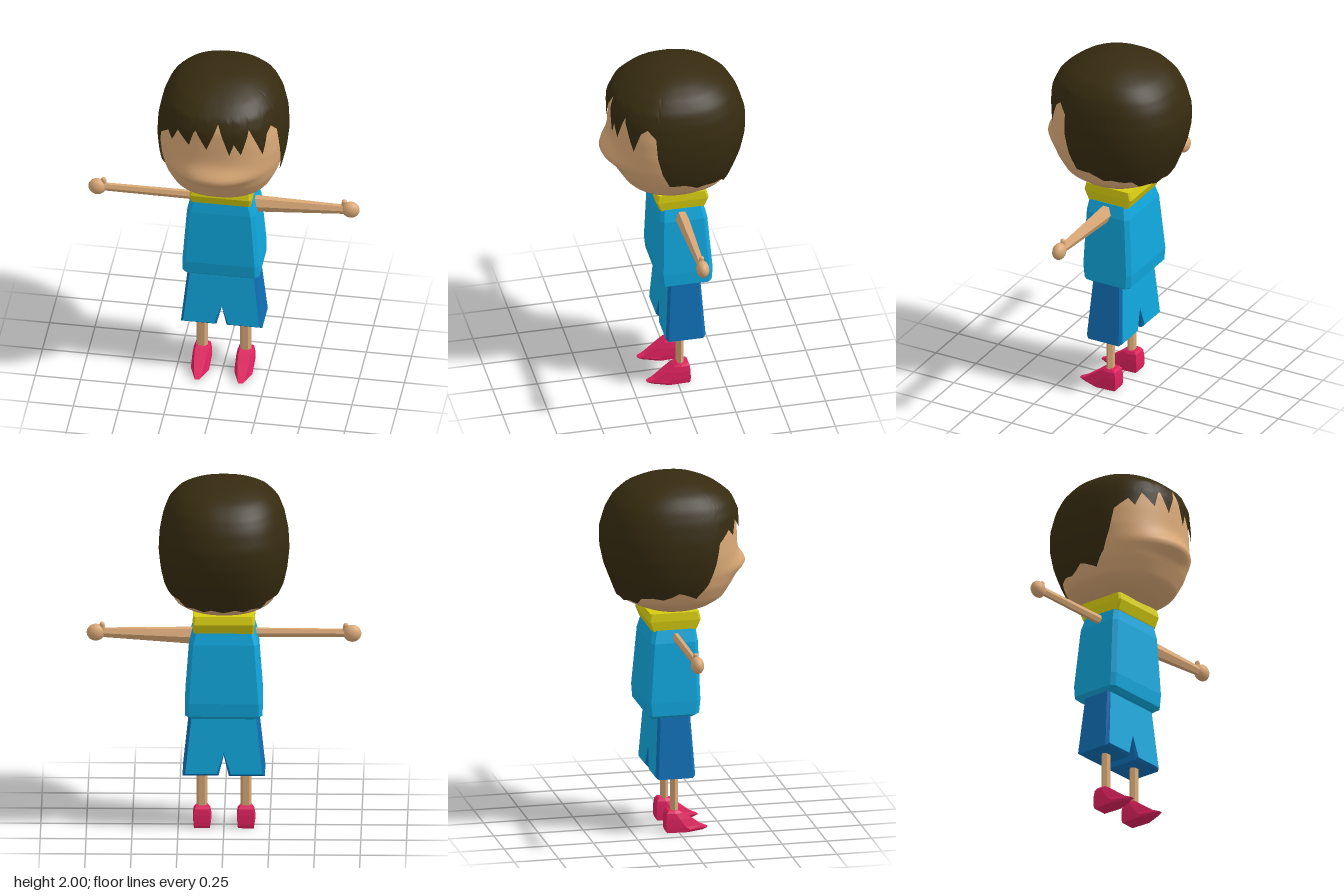
import * as THREE from 'three';

const mat = (name, color, opts = {}) => new THREE.MeshStandardMaterial({ name, color, ...opts });

// Head profile: height, half width, front depth, back depth
const HEAD = [
  [1.24, 0, 0, 0], [1.25, 0.14, 0.12, 0.13], [1.28, 0.22, 0.21, 0.21], [1.33, 0.285, 0.285, 0.31],
  [1.42, 0.328, 0.34, 0.345], [1.5, 0.346, 0.362, 0.375], [1.6, 0.357, 0.36, 0.397], [1.7, 0.352, 0.358, 0.399],
  [1.8, 0.332, 0.355, 0.37], [1.87, 0.305, 0.325, 0.33], [1.93, 0.255, 0.25, 0.265],
  [1.975, 0.17, 0.15, 0.16], [1.995, 0.09, 0.08, 0.08], [2, 0, 0, 0],
];

// Lower hairline: angle from the front (degrees, + toward the left side), height
const HAIRLINE = [
  [-180, 1.33], [-168, 1.345], [-160, 1.33], [-150, 1.345], [-140, 1.335], [-134, 1.37], [-122, 1.38], [-112, 1.37],
  [-104, 1.385], [-96, 1.41], [-90, 1.40], [-78, 1.37], [-68, 1.45], [-62, 1.56], [-58, 1.68], [-46, 1.74],
  [-40, 1.70], [-34, 1.78], [-22, 1.71], [-17, 1.82], [-6, 1.70], [4, 1.86], [14, 1.67], [18, 1.74], [24, 1.67],
  [32, 1.82], [44, 1.64], [50, 1.76], [56, 1.79], [64, 1.74], [66, 1.62], [70, 1.51], [76, 1.42], [90, 1.42],
  [98, 1.40], [104, 1.38], [112, 1.39], [122, 1.38], [132, 1.38], [140, 1.34], [150, 1.345], [160, 1.33],
  [168, 1.345], [180, 1.33],
];

function lookup(table, x, column, power) {
  let i = 0;
  while (i < table.length - 2 && x > table[i + 1][0]) i++;
  const a = table[i], b = table[i + 1];
  const t = THREE.MathUtils.clamp((x - a[0]) / (b[0] - a[0]), 0, 1);
  return THREE.MathUtils.lerp(a[column] ** power, b[column] ** power, t) ** (1 / power);
}

// Point on the rounded-square head surface
function headPoint(deg, y, inset, muzzle) {
  const [w, f, b] = [1, 2, 3].map((c) => Math.max(lookup(HEAD, y, c, 2) - inset, 1e-4));
  const th = THREE.MathUtils.degToRad(deg), s = Math.sin(th), c = Math.cos(th), n = 2.3;
  let r = ((Math.abs(s) / w) ** n + (Math.abs(c) / (c > 0 ? f : b)) ** n) ** (-1 / n);
  if (muzzle) r += 0.05 * Math.exp(-((deg / 30) ** 2)) * Math.exp(-(((y - 1.5) / (y > 1.5 ? 0.06 : 0.045)) ** 2));
  return [r * s, y > 1.9 ? y - inset : y, r * c];
}

// Smooth closed shell running from the crown down to a lower edge
function headShell(edge, ease, inset, muzzle, rows) {
  const cols = 180, pos = [], idx = [];
  for (let j = 0; j <= rows; j++) {
    for (let i = 0; i < cols; i++) {
      const deg = -180 + (i * 360) / cols;
      pos.push(...headPoint(deg, 2 - (2 - edge(deg)) * ease(j / rows), inset, muzzle));
      if (j === rows) continue;
      const n = (i + 1) % cols, b0 = j * cols + i, b1 = j * cols + n;
      idx.push(b0 + cols, b1 + cols, b1, b0 + cols, b1, b0);
    }
  }
  const g = new THREE.BufferGeometry();
  g.setAttribute('position', new THREE.Float32BufferAttribute(pos, 3));
  g.setIndex(idx);
  g.computeVertexNormals();
  return g;
}

// Flat-faced solid from rings stacked upward
function loft(rings) {
  const n = rings[0].length, last = (rings.length - 1) * n, idx = [];
  for (let j = 0; j < rings.length - 1; j++) {
    for (let i = 0; i < n; i++) {
      const a = j * n + i, b = j * n + ((i + 1) % n);
      idx.push(a, b, b + n, a, b + n, a + n);
    }
  }
  for (let i = 1; i < n - 1; i++) idx.push(0, i + 1, i, last, last + i, last + i + 1);
  const g = new THREE.BufferGeometry();
  g.setAttribute('position', new THREE.Float32BufferAttribute(rings.flat(2), 3));
  g.setIndex(idx);
  const flat = g.toNonIndexed();
  flat.computeVertexNormals();
  return flat;
}

// Rectangle with cut corners
const boxRing = (y, w, z0, z1, c) => [
  [-w + c, y, z1], [w - c, y, z1], [w, y, z1 - c], [w, y, z0 + c],
  [w - c, y, z0], [-w + c, y, z0], [-w, y, z0 + c], [-w, y, z1 - c],
];

// Shoe outline narrowing to the toe
const shoeRing = (y, w, back, toe, tip) => {
  const mid = back + (toe - back) * 0.55;
  return [[-tip, y, toe], [tip, y, toe], [w, y, mid], [w * 0.9, y, back], [-w * 0.9, y, back], [-w, y, mid]];
};

export function createModel() {
  const skin = mat('skin', 0xdaa977);
  const hairMat = mat('dark brown hair', 0x362b10, { side: THREE.DoubleSide });
  const blue = mat('light blue cloth', 0x10a8de);
  const navy = mat('dark blue cloth', 0x1070b8);
  const yellow = mat('yellow collar', 0xd6cc10);
  const pink = mat('pink shoe', 0xe0225f);

  const model = new THREE.Group();
  const add = (name, geometry, material, parent = model) => {
    const mesh = new THREE.Mesh(geometry, material);
    mesh.name = name;
    parent.add(mesh);
    return mesh;
  };

  // Head and hair
  add('head', headShell(() => 1.24, (t) => (1 - Math.cos(Math.PI * t)) / 2, 0.012, true, 60), skin);
  add('hair', headShell((d) => lookup(HAIRLINE, d, 1, 1), (t) => 1 - Math.cos((Math.PI * t) / 2), 0, false, 32), hairMat);

  // Collar and shirt
  add('collar', loft([
    boxRing(1.155, 0.165, -0.15, 0.1, 0.01), boxRing(1.21, 0.17, -0.172, 0.122, 0.01), boxRing(1.255, 0.165, -0.16, 0.112, 0.01),
  ]), yellow);
  add('shirt', loft([
    boxRing(0.664, 0.185, -0.16, 0.08, 0.02), boxRing(0.685, 0.212, -0.182, 0.105, 0.022), boxRing(0.76, 0.212, -0.188, 0.113, 0.022),
    boxRing(1.09, 0.188, -0.162, 0.104, 0.022), boxRing(1.16, 0.168, -0.145, 0.095, 0.02),
  ]), blue);

  // Shorts with a notch between the legs
  const outline = new THREE.Shape([
    [-0.225, 0.325], [-0.028, 0.325], [0, 0.44], [0.028, 0.325], [0.225, 0.325], [0.188, 0.68], [-0.188, 0.68],
  ].map(([x, y]) => new THREE.Vector2(x, y)));
  const shorts = new THREE.ExtrudeGeometry(outline, {
    depth: 1.7, bevelThickness: 0.15, bevelSize: 0.014, bevelOffset: -0.014, bevelSegments: 1,
  });
  const p = shorts.attributes.position;
  for (let i = 0; i < p.count; i++) {
    const t = (0.68 - p.getY(i)) / 0.355;
    p.setZ(i, -0.032 + (p.getZ(i) - 0.85) * (0.09 + 0.022 * t));
  }
  shorts.computeVertexNormals();
  add('shorts', shorts, [blue, navy]);

  for (const side of [1, -1]) {
    const label = side > 0 ? 'left' : 'right';

    // Leg and shoe
    const legGeo = new THREE.CylinderGeometry(0.028, 0.028, 0.3, 6).toNonIndexed();
    legGeo.rotateY(Math.PI / 6).scale(1.1, 1, 0.78);
    legGeo.computeVertexNormals();
    add(label + 'Leg', legGeo, skin).position.set(side * 0.12, 0.25, -0.019);
    add(label + 'Shoe', loft([
      shoeRing(0, 0.048, -0.066, 0.14, 0.012), shoeRing(0.014, 0.05, -0.07, 0.168, 0.012), shoeRing(0.03, 0.051, -0.071, 0.128, 0.022),
      shoeRing(0.075, 0.05, -0.07, 0.065, 0.032), shoeRing(0.108, 0.045, -0.066, 0.022, 0.034), shoeRing(0.122, 0.036, -0.055, 0, 0.03),
    ]), pink).position.x = side * 0.12;

    // Arm, thicker at the left shoulder
    const arm = new THREE.Group();
    arm.name = label + 'Arm';
    model.add(arm);
    const root = side > 0 ? 0.05 : 0.027;
    const limbGeo = new THREE.CylinderGeometry(side > 0 ? 0.027 : 0.024, root, 0.52, 6).toNonIndexed();
    limbGeo.scale(1, 1, 0.75);
    limbGeo.computeVertexNormals();
    const limb = add('limb', limbGeo, skin, arm);
    limb.rotation.z = -side * (Math.PI / 2 - (side > 0 ? 0.03 : 0));
    limb.position.set(side * 0.42, side > 0 ? 1.107 : 1.118, -0.019);

    // Hand and thumb
    const hand = add('hand', new THREE.SphereGeometry(0.05, 16, 12), skin, arm);
    hand.scale.set(1, 0.95, 0.72);
    hand.position.set(side * 0.7, 1.115, -0.02);
    const thumb = add('thumb', new THREE.CapsuleGeometry(0.014, 0.03, 4, 8), skin, arm);
    thumb.position.set(side * 0.663, 1.147, -0.022);
    thumb.rotation.z = -side * 0.15;
  }
  return model;
}
